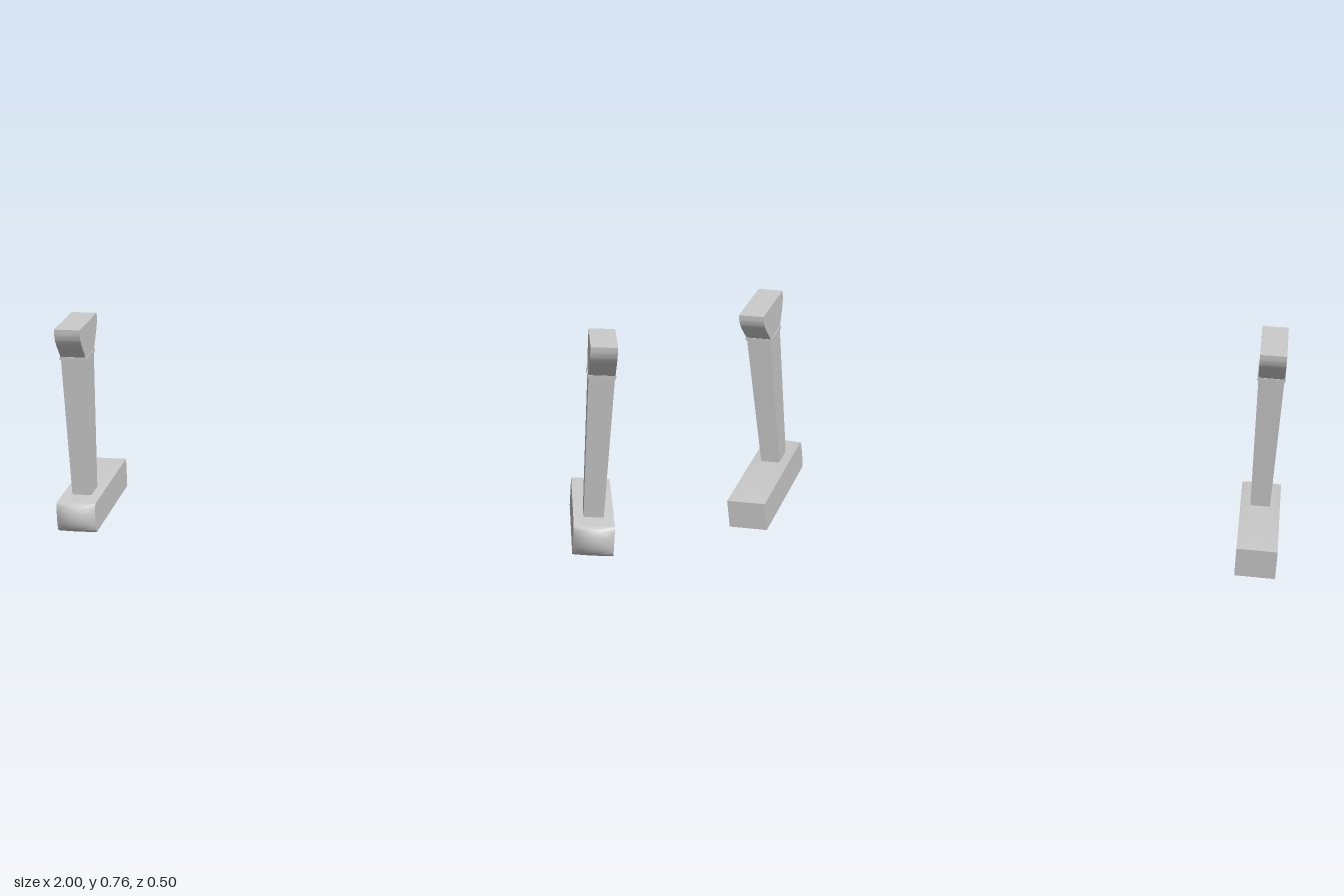
import * as THREE from 'three';
import { toCreasedNormals } from 'three/addons/utils/BufferGeometryUtils.js';

const material = new THREE.MeshStandardMaterial({ color: 0xcccccc });
const POST_Z = 0.094;

function add(group, name, geometry, y, z) {
  const mesh = new THREE.Mesh(geometry, material);
  mesh.name = name;
  mesh.position.set(0, y, z);
  group.add(mesh);
}

// Long foot block whose front end swells into a soft cushion
function footGeometry() {
  const w = 0.143, h = 0.112, back = -0.2485, front = 0.214, bulge = 0.0345;
  const geo = new THREE.BoxGeometry(w, h, 1, 12, 16, 1);
  const p = geo.attributes.position;
  for (let i = 0; i < p.count; i++) {
    const u = p.getX(i) / (w / 2);
    const a = (p.getY(i) / (h / 2)) * Math.PI / 2;
    const swell = bulge * Math.cos(a) * (1 - 0.62 * u * u);
    p.setY(i, Math.sin(a) * h / 2);
    p.setZ(i, p.getZ(i) > 0 ? front + swell : back);
  }
  return toCreasedNormals(geo, 0.5);
}

// Square post, wider at the top than at the foot
function postGeometry() {
  const h = 0.522;
  const geo = new THREE.BoxGeometry(1, h, 1);
  const p = geo.attributes.position;
  for (let i = 0; i < p.count; i++) {
    const top = p.getY(i) > 0;
    p.setX(i, p.getX(i) * (top ? 0.09 : 0.071));
    p.setZ(i, p.getZ(i) * (top ? 0.113 : 0.086));
  }
  geo.computeVertexNormals();
  return geo;
}

// Flared head: a curved profile seen from the side, extruded across x
function headGeometry() {
  const depth = 0.092;
  const s = new THREE.Shape();
  s.moveTo(-0.058, 0);
  s.lineTo(0.058, 0);
  s.bezierCurveTo(0.088, 0.042, 0.117, 0.068, 0.117, 0.104);
  s.lineTo(0.117, 0.117);
  s.lineTo(-0.117, 0.117);
  s.lineTo(-0.117, 0.104);
  s.bezierCurveTo(-0.117, 0.068, -0.088, 0.042, -0.058, 0);
  const geo = new THREE.ExtrudeGeometry(s, { depth, bevelEnabled: false, curveSegments: 14 });
  geo.translate(0, 0, -depth / 2);
  geo.rotateY(-Math.PI / 2);
  return toCreasedNormals(geo, 0.5);
}

function createSupport(name, x) {
  const support = new THREE.Group();
  support.name = name;
  support.position.x = x;
  add(support, 'foot', footGeometry(), 0.056, 0);
  add(support, 'post', postGeometry(), 0.372, POST_Z);
  add(support, 'collar', new THREE.BoxGeometry(0.098, 0.011, 0.12), 0.6375, POST_Z);
  add(support, 'head', headGeometry(), 0.643, POST_Z);
  return support;
}

export function createModel() {
  const model = new THREE.Group();
  model.name = 'pairOfSupports';
  model.add(createSupport('leftSupport', 0.9285), createSupport('rightSupport', -0.9285));
  return model;
}
